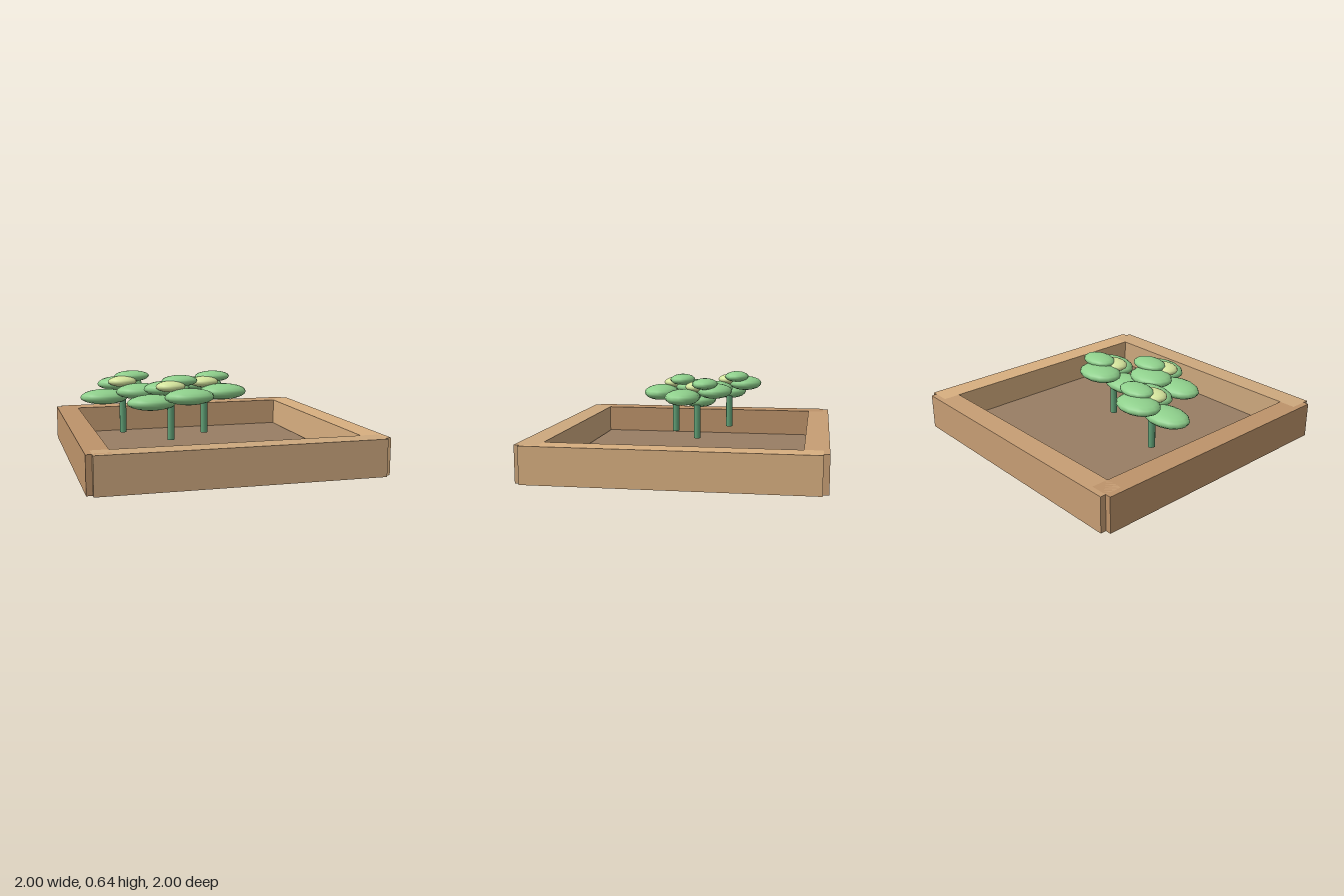
import * as THREE from 'three';

const paint = (color) => {
  const m = new THREE.MeshStandardMaterial();
  m.color.set(color);
  return m;
};

function addMesh(parent, name, geometry, material, x, y, z) {
  const mesh = new THREE.Mesh(geometry, material);
  mesh.name = name;
  mesh.position.set(x, y, z);
  parent.add(mesh);
  return mesh;
}

// Leaf pads relative to the stem: x, height, z, then radii
const PADS = [
  ['leafLeft', -0.135, 0.461, 0, 0.178, 0.055, 0.122],
  ['leafFront', 0.115, 0.505, 0.09, 0.178, 0.057, 0.127],
  ['leafBack', 0, 0.541, -0.128, 0.168, 0.053, 0.127],
  ['leafTop', 0.08, 0.6, -0.067, 0.132, 0.04, 0.092],
  ['flowerBud', 0, 0.57, 0, 0.107, 0.039, 0.087],
];

export function createModel() {
  const model = new THREE.Group();
  model.name = 'planterBed';

  // Soil slab, slightly smaller than the opening and rising inside it
  addMesh(model, 'soil', new THREE.BoxGeometry(1.665, 0.09, 1.665), paint(0x987e64), 0, 0.045, 0);

  // Four boards, notched at the outer corners
  const sideBoard = new THREE.BoxGeometry(0.16, 0.253, 1.92);
  const endBoard = new THREE.BoxGeometry(1.92, 0.253, 0.16);
  const boardY = 0.16;
  addMesh(model, 'boardFront', endBoard, paint(0xcda87e), 0, boardY, 0.92);
  addMesh(model, 'boardBack', endBoard, paint(0xc79e74), 0, boardY, -0.92);
  addMesh(model, 'boardLeft', sideBoard, paint(0xd8af80), 0.92, boardY, 0);
  addMesh(model, 'boardRight', sideBoard, paint(0xbd936a), -0.92, boardY, 0);

  // Three identical plants
  const stemGeometry = new THREE.CylinderGeometry(0.025, 0.025, 0.32, 10);
  const padGeometry = new THREE.SphereGeometry(1, 14, 10);
  const stemPaint = paint(0x60a076);
  const leafPaint = paint(0x8fd08c);
  const budPaint = paint(0xd6e69e);
  [[-0.577, -0.214], [-0.3, 0.17], [0, -0.042]].forEach(([x, z], i) => {
    const plant = new THREE.Group();
    plant.name = `plant${i + 1}`;
    plant.position.set(x, 0, z);
    addMesh(plant, 'stem', stemGeometry, stemPaint, 0, 0.35, 0);
    for (const [name, px, py, pz, rx, ry, rz] of PADS) {
      const material = name === 'flowerBud' ? budPaint : leafPaint;
      addMesh(plant, name, padGeometry, material, px, py, pz).scale.set(rx, ry, rz);
    }
    model.add(plant);
  });

  return model;
}
